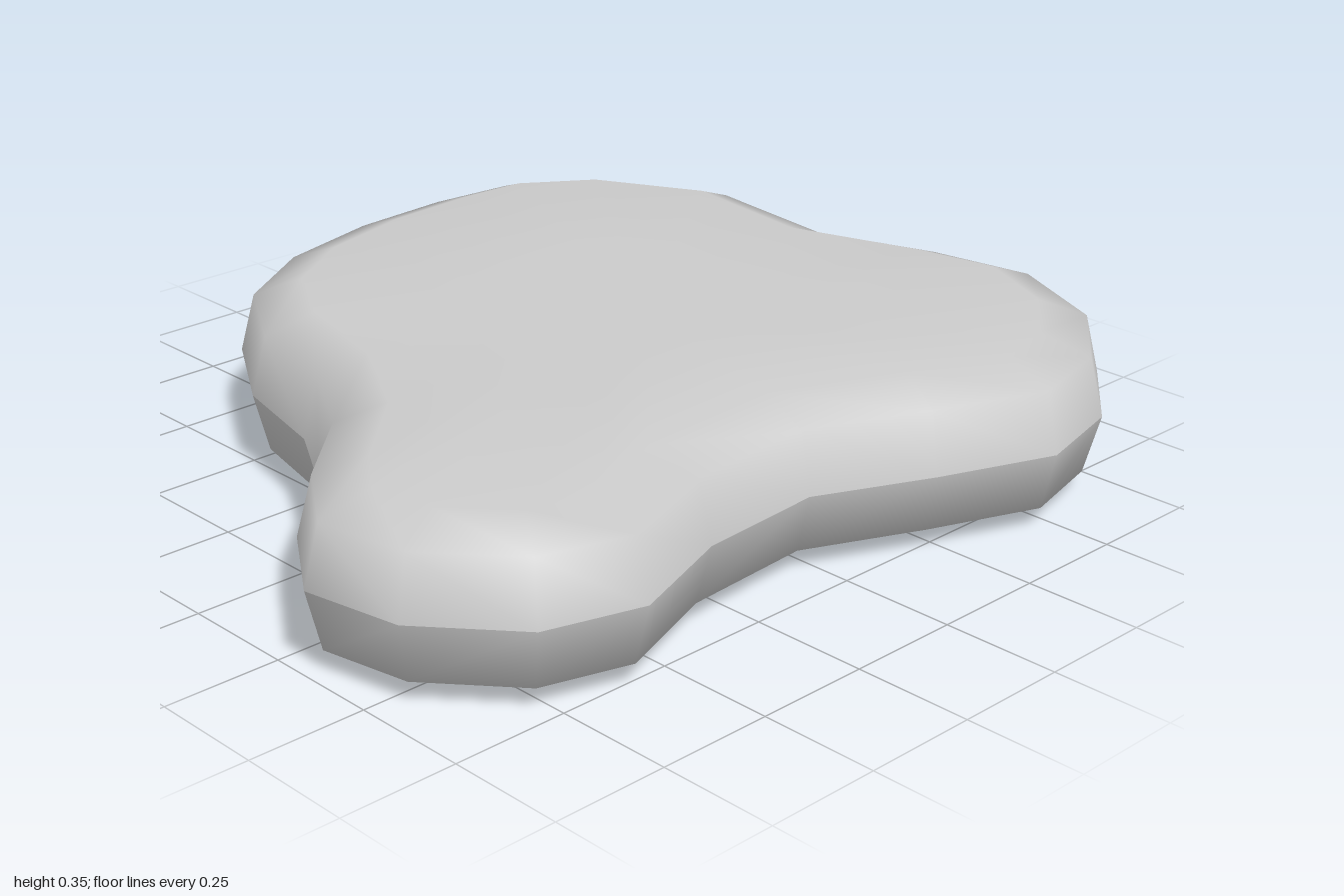
import * as THREE from 'three';

// Outline of the slab at its widest level, as [x, z] going round the edge
const OUTLINE = [
  [0.42, -1], [0.68, -0.88], [0.84, -0.68], [0.895, -0.455], [0.8, -0.2], [0.69, 0.05],
  [0.71, 0.34], [0.8, 0.59], [0.74, 0.8], [0.555, 0.96], [0.34, 1], [0.155, 0.875],
  [-0.005, 0.7], [-0.195, 0.59], [-0.45, 0.53], [-0.68, 0.39], [-0.82, 0.17], [-0.885, -0.09],
  [-0.9, -0.335], [-0.88, -0.545], [-0.735, -0.755], [-0.435, -0.91], [-0.095, -0.87], [0.17, -0.96],
].map(([x, z]) => new THREE.Vector2(x, z));

const HALF = 0.175;                        // half of the thickness
const CENTRE = new THREE.Vector2(0.08, -0.1);

// Outline moved inwards along its corner normals
function inset(distance) {
  const n = OUTLINE.length;
  return OUTLINE.map((p, i) => {
    const t = OUTLINE[(i + 1) % n].clone().sub(OUTLINE[(i + n - 1) % n]).normalize();
    return new THREE.Vector2(p.x - t.y * distance, p.y + t.x * distance);
  });
}

// One half of the slab: rings from the widest edge up (or down) to the centre
function halfGeometry(sign) {
  const rim = inset(0.14);
  const inner = rim.map((p) => p.clone().lerp(CENTRE, 0.5));
  const rings = [[OUTLINE, 0], [inset(0.032), 0.128], [rim, 0.168], [inner, 0.174]];
  const n = OUTLINE.length;
  const positions = [];
  const index = [];
  const face = (a, b, c) => (sign > 0 ? index.push(a, c, b) : index.push(a, b, c));

  for (const [ring, h] of rings) {
    for (const p of ring) positions.push(p.x, HALF + sign * h, p.y);
  }
  positions.push(CENTRE.x, HALF + sign * HALF, CENTRE.y);

  const last = rings.length - 1;
  for (let i = 0; i < n; i++) {
    const j = (i + 1) % n;
    for (let r = 0; r < last; r++) {
      const a = r * n + i, b = r * n + j;
      face(a, b, b + n);
      face(a, b + n, a + n);
    }
    face(last * n + i, last * n + j, rings.length * n);
  }

  const geometry = new THREE.BufferGeometry();
  geometry.setAttribute('position', new THREE.Float32BufferAttribute(positions, 3));
  geometry.setIndex(index);
  geometry.computeVertexNormals();
  return geometry;
}

export function createModel() {
  const model = new THREE.Group();
  model.name = 'steppingStone';
  const material = new THREE.MeshStandardMaterial({ color: 0xcccccc });

  // Separate halves keep a crisp line round the middle
  for (const [name, sign] of [['upperHalf', 1], ['lowerHalf', -1]]) {
    const mesh = new THREE.Mesh(halfGeometry(sign), material);
    mesh.name = name;
    model.add(mesh);
  }
  return model;
}
